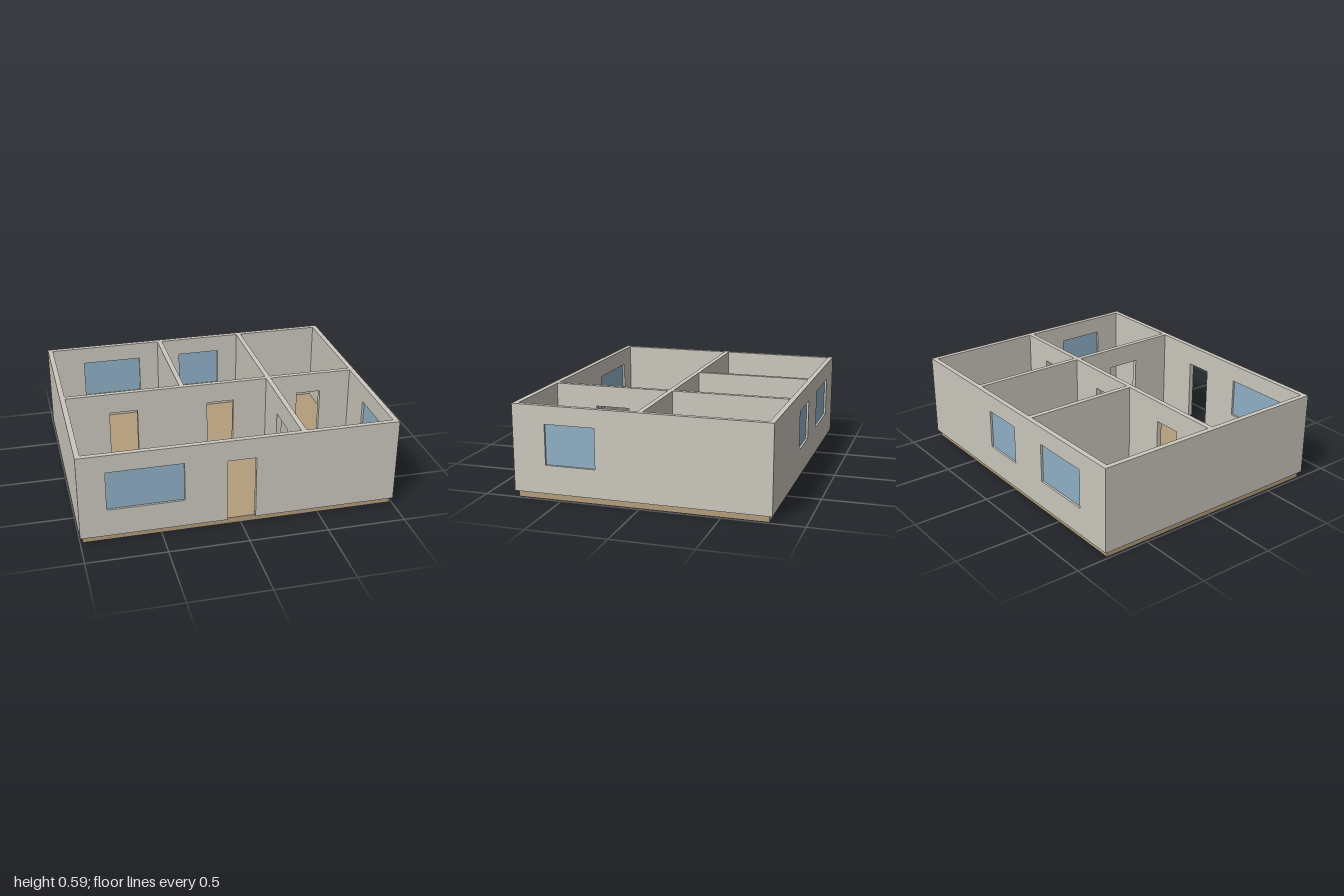
import * as THREE from 'three';

const FLOOR = 0.04, TOP = 0.59, T = 0.033;      // slab top, wall top, wall thickness
const HX = 1, HZ = 0.805;                       // half length and half depth of the house
const DOOR_TOP = 0.455, SILL = 0.22, HEAD = 0.475;

const wallMat = new THREE.MeshStandardMaterial({ color: 0xcbc7bd });
const floorMat = new THREE.MeshStandardMaterial({ color: 0xb39d7c });
const glassMat = new THREE.MeshStandardMaterial({ color: 0x8fb0c6 });

// A straight wall from a to b along 'x' or 'z', with its middle at "at" on the other axis.
// Doors and windows are [start, end] spans along the wall.
function buildWall(name, axis, a, b, at, { doors = [], windows = [] } = {}) {
  const group = new THREE.Group();
  group.name = name;

  // outline, notched at the bottom for each doorway
  const shape = new THREE.Shape();
  shape.moveTo(a, FLOOR);
  for (const [d0, d1] of doors) {
    shape.lineTo(d0, FLOOR);
    shape.lineTo(d0, DOOR_TOP);
    shape.lineTo(d1, DOOR_TOP);
    shape.lineTo(d1, FLOOR);
  }
  shape.lineTo(b, FLOOR);
  shape.lineTo(b, TOP);
  shape.lineTo(a, TOP);
  shape.closePath();

  // window openings, each with a thin pane in the middle of the wall
  for (const [w0, w1] of windows) {
    const hole = new THREE.Path();
    hole.moveTo(w0, SILL);
    hole.lineTo(w0, HEAD);
    hole.lineTo(w1, HEAD);
    hole.lineTo(w1, SILL);
    hole.closePath();
    shape.holes.push(hole);

    const pane = new THREE.Mesh(new THREE.BoxGeometry(w1 - w0, HEAD - SILL, 0.006), glassMat);
    pane.position.set((w0 + w1) / 2, (SILL + HEAD) / 2, 0);
    pane.name = 'windowPane';
    group.add(pane);
  }

  const geometry = new THREE.ExtrudeGeometry(shape, { depth: T, bevelEnabled: false });
  geometry.translate(0, 0, -T / 2);
  const mesh = new THREE.Mesh(geometry, wallMat);
  mesh.name = 'wallPanel';
  group.add(mesh);

  if (axis === 'z') {
    group.rotation.y = -Math.PI / 2;            // the wall's length now runs along +z
    group.position.x = at;
  } else {
    group.position.z = at;
  }
  return group;
}

export function createModel() {
  const house = new THREE.Group();
  house.name = 'house';

  // floor slab, slightly inset below the walls
  const slab = new THREE.Mesh(new THREE.BoxGeometry(1.97, FLOOR, 1.57), floorMat);
  slab.position.y = FLOOR / 2;
  slab.name = 'floorSlab';
  house.add(slab);

  const inX = HX - T, inZ = HZ - T;
  house.add(
    // outer walls
    buildWall('frontWall', 'x', -HX, HX, HZ - T / 2, { doors: [[-0.09, 0.09]], windows: [[-0.83, -0.355]] }),
    buildWall('backWall', 'x', -HX, HX, -HZ + T / 2, { windows: [[-0.75, -0.35], [-0.055, 0.235]] }),
    buildWall('leftWall', 'z', -inZ, inZ, HX - T / 2, { windows: [[0.275, 0.595]] }),
    buildWall('rightWall', 'z', -inZ, inZ, -HX + T / 2),
    // inner walls
    buildWall('middleWall', 'x', -inX, inX, -0.003, { doors: [[-0.685, -0.5], [-0.03, 0.15], [0.595, 0.76]] }),
    buildWall('rearPartitionRight', 'z', -inZ, -0.003 - T / 2, -0.198),
    buildWall('rearPartitionLeft', 'z', -inZ, -0.003 - T / 2, 0.392),
    buildWall('frontPartition', 'z', -0.003 + T / 2, inZ, 0.392, { doors: [[0.275, 0.5]] }),
  );
  return house;
}
